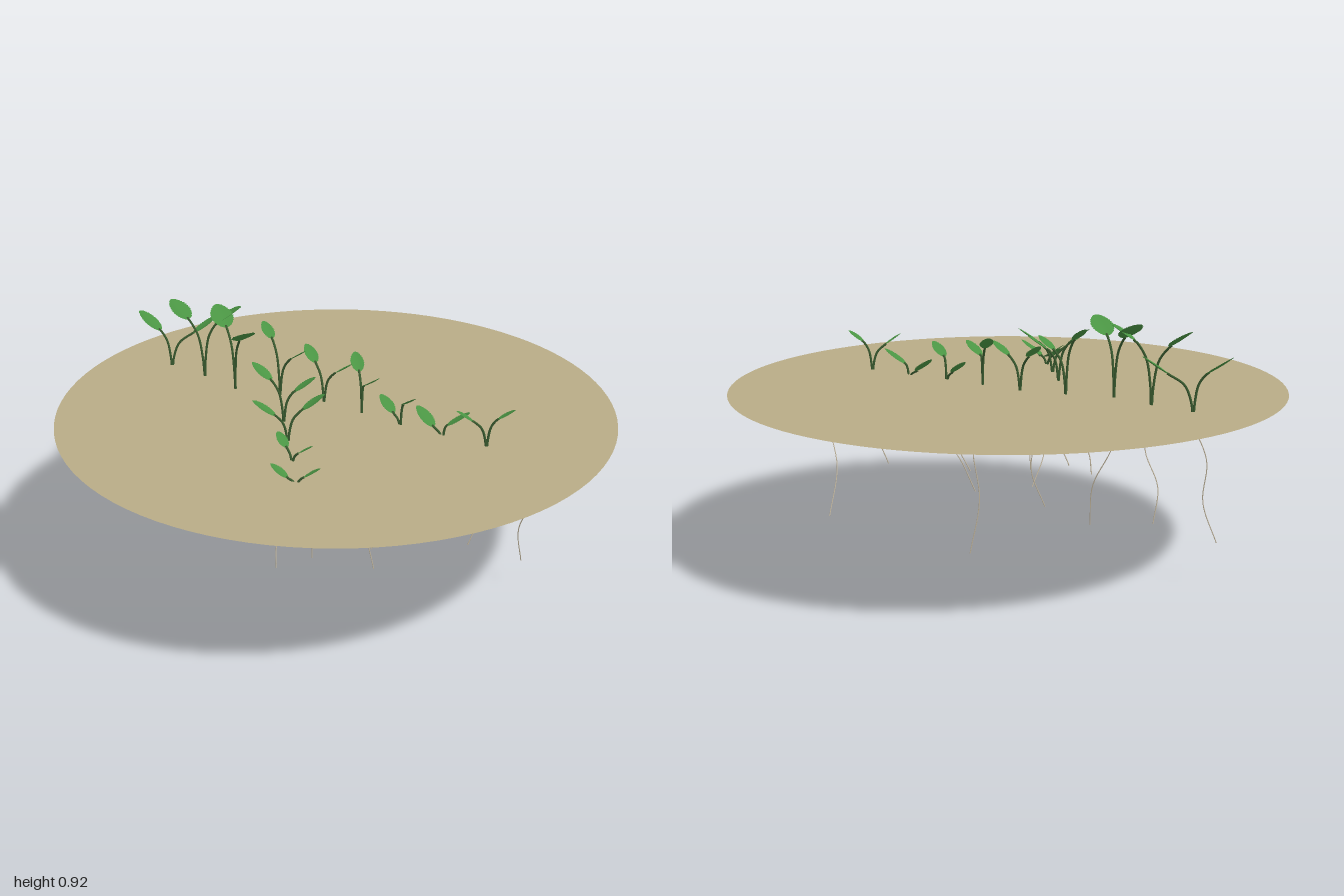
import * as THREE from 'three';

const mat = (name, color, side = THREE.FrontSide) => {
  const m = new THREE.MeshStandardMaterial({ color, side });
  m.name = name;
  return m;
};
const V = (x, y, z) => new THREE.Vector3(x, y, z);

const RUNNER_Y = 0.6, SOIL_Y = 0.645;

// Evenly spaced plant nodes: nine on the main runner, four on the side runner
const mainNodes = [0.01, 0.02, 0.05, 0, -0.04, -0.035, -0.03, -0.04, -0.05]
  .map((z, i) => V(-0.75 + i * 0.1675, RUNNER_Y, z));
const sideNodes = [0, 1, 2, 3].map((i) => V(-0.1 + i * 0.103, RUNNER_Y, 0.18 + i * 0.118));

// Per plant: left leaf x y z, right leaf x y z, leaf length
const mainLeaves = [
  [-0.84, 0.81, 0.02, -0.65, 0.805, -0.075, 0.115],
  [-0.695, 0.885, 0.015, -0.495, 0.895, -0.03, 0.107],
  [-0.51, 0.895, 0, -0.33, 0.885, 0.1, 0.11],
  [-0.325, 0.87, -0.035, -0.165, 0.82, 0, 0.083],
  [-0.165, 0.8, -0.08, 0, 0.79, -0.045, 0.088],
  [0.03, 0.81, -0.09, 0.13, 0.775, -0.03, 0.088],
  [0.185, 0.7, -0.05, 0.3, 0.75, -0.015, 0.088],
  [0.34, 0.69, -0.055, 0.47, 0.71, -0.06, 0.1],
  [0.53, 0.76, 0, 0.65, 0.77, -0.07, 0.073],
];
const sideLeaves = [
  [-0.185, 0.82, 0.19, -0.04, 0.785, 0.135, 0.095],
  [-0.065, 0.765, 0.34, 0.07, 0.785, 0.24, 0.098],
  [0.05, 0.7, 0.395, 0.155, 0.695, 0.41, 0.07],
  [0.15, 0.675, 0.55, 0.26, 0.685, 0.52, 0.075],
];

// Root tips, one per plant
const mainRoots = [
  [-0.79, 0.16, 0.13], [-0.61, 0.23, 0], [-0.28, 0.14, 0.12], [-0.34, 0.36, 0.03], [-0.11, 0.19, 0.08],
  [0.13, 0.002, -0.06], [0.17, 0.3, 0], [0.22, 0.19, 0.1], [0.56, 0.27, 0],
];
const sideRoots = [[-0.15, 0.33, 0.18], [-0.02, 0.24, 0.13], [0.13, 0.24, 0.34], [0.19, 0.36, 0.63]];

// Oval blade with a toothed edge, folded along the midrib; base at origin, tip along +z
function leafGeometry(length, width) {
  const rows = 24, cols = 4, g = new THREE.PlaneGeometry(1, 1, cols, rows);
  const p = g.attributes.position;
  for (let i = 0; i < p.count; i++) {
    const u = p.getX(i) * 2, row = Math.floor(i / (cols + 1));
    const t = 1 - row / rows;
    const oval = Math.pow(Math.max(0, Math.sin(Math.PI * Math.pow(t, 0.9))), 0.6);
    const tooth = Math.abs(u) > 0.9 && row % 2 ? 0.9 : 1;
    const x = u * oval * tooth * width / 2;
    // Negated x keeps the upper face outward once the blade lies along +z
    p.setXYZ(i, -x, Math.abs(x) * 0.18 + 0.1 * length * (t - 1) * t, t * length);
  }
  g.computeVertexNormals();
  return g;
}

export function createModel() {
  const model = new THREE.Group();
  model.name = 'creepingPlant';
  const soilMat = mat('soil', 0xb8ab86, THREE.DoubleSide);
  const leafMat = mat('leaf green', 0x4a9443, THREE.DoubleSide);
  const stemMat = mat('stem green', 0x3a5c30);
  const runnerMat = mat('runner tan', 0xa89a85);
  const rootMat = mat('root beige', 0xc4b8a0);
  const nodeMat = mat('node cream', 0xd9cfb2);

  const add = (name, geometry, material, parent = model) => {
    const m = new THREE.Mesh(geometry, material);
    m.name = name;
    parent.add(m);
    return m;
  };
  const tube = (points, radius, segments = 16) =>
    new THREE.TubeGeometry(new THREE.CatmullRomCurve3(points), segments, radius, 6);

  // Ground surface
  const soil = add('soilDisc', new THREE.CircleGeometry(1, 96), soilMat);
  soil.rotation.x = -Math.PI / 2;
  soil.position.y = SOIL_Y;

  // Buried runners joining the plants
  add('mainRunner', tube([V(-0.84, 0.598, 0.02), ...mainNodes, V(0.83, 0.6, -0.085)], 0.006, 80), runnerMat);
  add('sideRunner', tube([mainNodes[3], ...sideNodes, V(0.31, 0.6, 0.63)], 0.005, 50), runnerMat);

  // Wavering root from a node down to its tip
  const addRoot = (from, tip, sway, parent) => {
    const pts = [0, 0.3, 0.65, 1].map((t) => {
      const wave = sway * Math.sin(t * Math.PI * 2);
      return from.clone().lerp(tip, t).add(V(wave, 0, -wave * 0.6));
    });
    add('root', tube(pts, 0.002, 20), rootMat, parent);
  };

  // Arching stalk ending in a blade that tilts up and away from the node
  const addLeaf = (node, centre, length, parent) => {
    const dir = centre.clone().sub(node).setY(0).normalize().multiplyScalar(0.8).setY(0.55).normalize();
    const base = centre.clone().addScaledVector(dir, -length / 2);
    const span = base.clone().sub(node);
    const at = (reach, rise) => node.clone().add(V(span.x * reach, span.y * rise, span.z * reach));
    const end = base.clone().addScaledVector(dir, length * 0.1);
    add('stalk', tube([node, at(0.1, 0.45), at(0.4, 0.8), base, end], 0.0042), stemMat, parent);

    // The tallest blades are rounder
    const width = length * (centre.y > 0.88 ? 0.82 : 0.58);
    const blade = add('leaf', leafGeometry(length, width), leafMat, parent);
    blade.position.copy(base);
    blade.lookAt(base.clone().add(dir));
  };

  const addPlant = (node, [lx, ly, lz, rx, ry, rz, length], rootTip, k) => {
    const plant = new THREE.Group();
    plant.name = 'plant';
    model.add(plant);

    // Pale bud at the node
    const bud = add('nodeBud', new THREE.SphereGeometry(0.018, 12, 8), nodeMat, plant);
    bud.scale.y = 1.25;
    bud.position.copy(node).add(V(0, 0.019, 0));

    addRoot(node, V(...rootTip), k % 2 ? 0.02 : -0.02, plant);
    addLeaf(node, V(lx, ly, lz), length, plant);
    addLeaf(node, V(rx, ry, rz), length, plant);
  };
  mainNodes.forEach((node, k) => addPlant(node, mainLeaves[k], mainRoots[k], k));
  sideNodes.forEach((node, k) => addPlant(node, sideLeaves[k], sideRoots[k], k));

  // Extra root near the growing tip
  addRoot(V(0.75, 0.6, -0.07), V(0.64, 0.11, -0.26), 0.02, model);

  return model;
}
